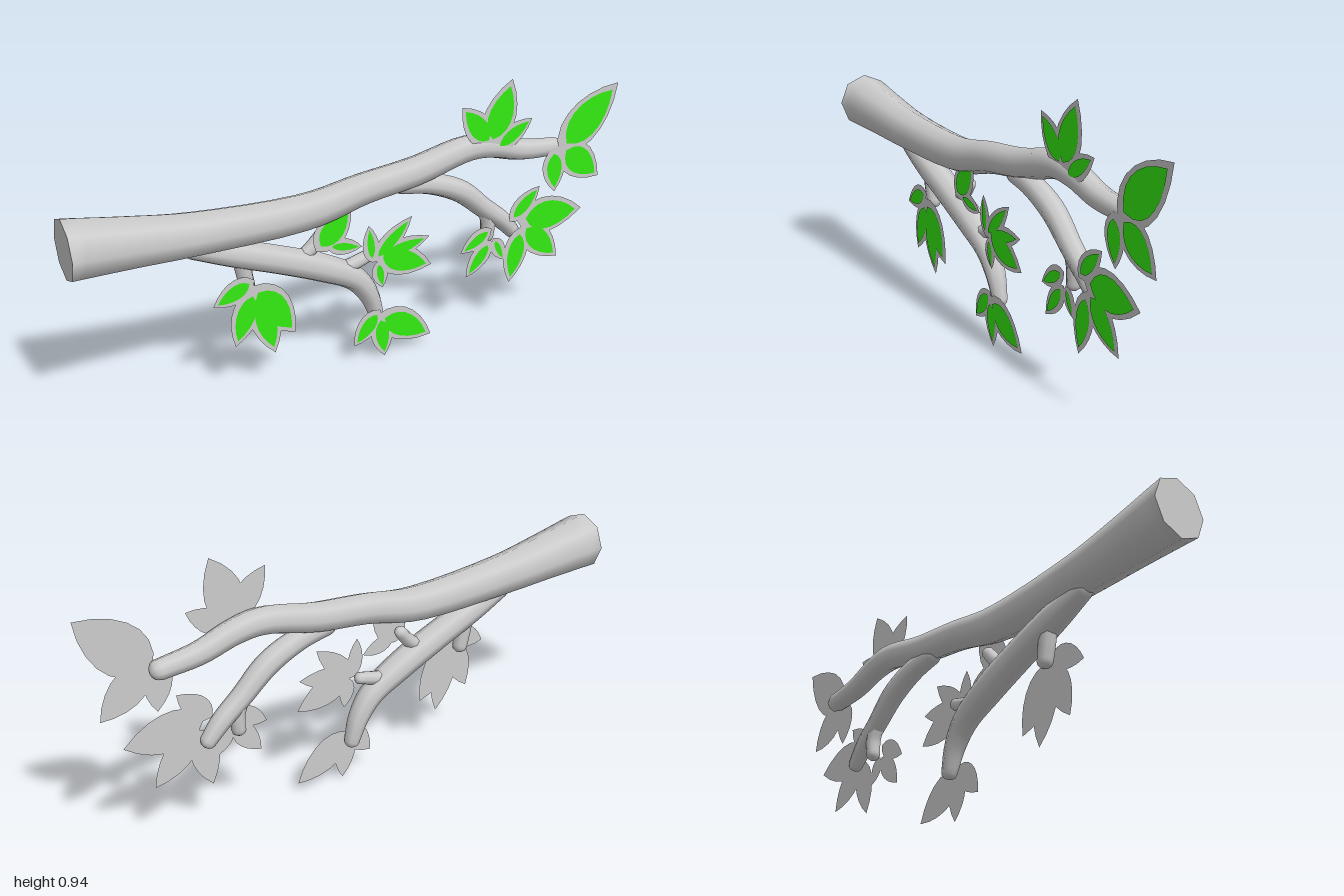
import * as THREE from 'three';

const bark = new THREE.MeshStandardMaterial({ color: 0xcccccc });
const leafRim = new THREE.MeshStandardMaterial({ color: 0xcccccc, side: THREE.DoubleSide });
const leafGreen = new THREE.MeshStandardMaterial({ color: 0x33ec12 });

const SIDES = 8;
const LEAF_Z = 0.035;

// Tapered eight-sided limb through [x, y, radius] points, with rounded ends (or a flat sawn start)
function limb(name, points, sawn = false) {
  const curve = new THREE.CatmullRomCurve3(points.map(p => new THREE.Vector3(...p)));
  const steps = points.length * 4;
  const rings = [];
  const addRing = (p, t, shift, scale) => rings.push({
    x: p.x + t.x * shift * p.z, y: p.y + t.y * shift * p.z, r: p.z * scale, t,
  });
  const round = [0.05, 0.5, 0.85];
  for (let i = 0; i <= steps; i++) {
    const p = curve.getPoint(i / steps);
    const d = curve.getTangent(i / steps);
    const t = new THREE.Vector2(d.x, d.y).normalize();
    if (i === 0 && sawn) t.set(1, 0);
    if (i === 0 && !sawn) round.forEach(s => addRing(p, t, -Math.sqrt(1 - s * s) * 0.8, s));
    addRing(p, t, 0, 1);
    if (i === steps) [...round].reverse().forEach(s => addRing(p, t, Math.sqrt(1 - s * s) * 0.8, s));
  }
  const position = [], index = [];
  rings.forEach(({ x, y, r, t }, i) => {
    for (let j = 0; j < SIDES; j++) {
      const a = (j / SIDES) * Math.PI * 2;
      const c = Math.cos(a) * r;
      position.push(x - t.y * c, y + t.x * c, Math.sin(a) * r);
      if (i === rings.length - 1) continue;
      const k = (j + 1) % SIDES;
      const p = i * SIDES + j, q = i * SIDES + k;
      index.push(p, q, p + SIDES, q, q + SIDES, p + SIDES);
    }
  });
  // close both ends
  const last = (rings.length - 1) * SIDES;
  for (let j = 1; j < SIDES - 1; j++) {
    index.push(last, last + j, last + j + 1);
    if (!sawn) index.push(0, j + 1, j);
  }
  const geometry = new THREE.BufferGeometry();
  geometry.setAttribute('position', new THREE.Float32BufferAttribute(position, 3));
  geometry.setIndex(index);
  geometry.computeVertexNormals();
  const mesh = new THREE.Mesh(geometry, bark);
  mesh.name = name;
  return mesh;
}

// Pointed leaf outline along +x
function leafShape(start, end, width) {
  const l = end - start, c = width / 1.35;
  const s = new THREE.Shape();
  s.moveTo(start, 0);
  s.bezierCurveTo(start + l * 0.18, -c, start + l * 0.65, -c * 0.85, end, 0);
  s.bezierCurveTo(start + l * 0.65, c * 0.85, start + l * 0.18, c, start, 0);
  return new THREE.ShapeGeometry(s, 7);
}

// Flat leaf from base to tip: grey rim with a green blade just in front
function leaf([x0, y0, x1, y1, width]) {
  const length = Math.hypot(x1 - x0, y1 - y0);
  const group = new THREE.Group();
  group.name = 'leaf';
  const rim = new THREE.Mesh(leafShape(0, length, width), leafRim);
  rim.name = 'leafRim';
  const blade = new THREE.Mesh(leafShape(length * 0.13, length * 0.9, width - 0.034), leafGreen);
  blade.name = 'leafBlade';
  blade.position.z = 0.003;
  group.add(rim, blade);
  group.position.set(x0, y0, LEAF_Z);
  group.rotation.z = Math.atan2(y1 - y0, x1 - x0);
  return group;
}

// Leaves by cluster: base x, base y, tip x, tip y, width
const clusters = {
  topLeaves: [[0.47, 0.72, 0.55, 0.955, 0.13], [0.48, 0.73, 0.355, 0.885, 0.1], [0.49, 0.71, 0.64, 0.8, 0.08]],
  endLeaves: [[0.76, 0.65, 1, 0.87, 0.16], [0.77, 0.67, 0.945, 0.525, 0.125], [0.74, 0.67, 0.755, 0.5, 0.095]],
  rightLeaves: [[0.6, 0.42, 0.88, 0.41, 0.14], [0.57, 0.42, 0.69, 0.535, 0.08],
    [0.62, 0.4, 0.785, 0.235, 0.11], [0.62, 0.39, 0.58, 0.175, 0.1]],
  rightTwigLeaves: [[0.495, 0.41, 0.37, 0.34, 0.07], [0.495, 0.365, 0.395, 0.24, 0.075], [0.505, 0.37, 0.55, 0.275, 0.055]],
  lowerTipLeaves: [[0.05, 0.2, -0.05, 0.08, 0.085], [0.05, 0.18, 0.07, 0.01, 0.085], [0.04, 0.18, 0.255, 0.05, 0.12]],
  middleLeaves: [[0.02, 0.39, 0.005, 0.53, 0.06], [0.02, 0.39, 0.17, 0.53, 0.075], [0.03, 0.4, 0.24, 0.44, 0.075],
    [0.03, 0.41, 0.25, 0.33, 0.11], [0.04, 0.39, 0.06, 0.285, 0.06]],
  upperTwigLeaves: [[-0.19, 0.48, -0.06, 0.61, 0.115], [-0.15, 0.49, -0.02, 0.46, 0.06]],
  lowerLeftLeaves: [[-0.41, 0.43, -0.555, 0.365, 0.085], [-0.41, 0.4, -0.485, 0.2, 0.1],
    [-0.4, 0.38, -0.345, 0.14, 0.105], [-0.42, 0.41, -0.27, 0.2, 0.13]],
};

export function createModel() {
  const model = new THREE.Group();
  model.name = 'leafyBranch';

  // Main branch with a flat sawn end
  model.add(limb('mainBranch', [
    [-1, 0.66, 0.102], [-0.8, 0.64, 0.086], [-0.6, 0.622, 0.074], [-0.2, 0.615, 0.063], [0, 0.652, 0.055],
    [0.2, 0.677, 0.052], [0.4, 0.72, 0.047], [0.5, 0.71, 0.043], [0.62, 0.675, 0.039], [0.76, 0.66, 0.034],
  ], true));
  const cut = new THREE.Mesh(new THREE.CircleGeometry(0.102, SIDES), bark);
  cut.name = 'sawnEnd';
  cut.rotation.y = -Math.PI / 2;
  cut.position.set(-1, 0.66, 0);
  model.add(cut);

  // Side branches
  model.add(limb('lowerBranch', [
    [-0.6, 0.57, 0.035], [-0.47, 0.525, 0.047], [-0.3, 0.46, 0.05], [-0.15, 0.395, 0.05],
    [-0.03, 0.325, 0.043], [0.025, 0.25, 0.036], [0.055, 0.165, 0.027],
  ]));
  model.add(limb('rightBranch', [
    [0.15, 0.635, 0.033], [0.26, 0.617, 0.038], [0.38, 0.565, 0.04], [0.48, 0.48, 0.036],
    [0.56, 0.415, 0.033], [0.61, 0.36, 0.027],
  ]));

  // Twigs
  model.add(limb('lowerLeftTwig', [[-0.44, 0.5, 0.03], [-0.43, 0.44, 0.028], [-0.42, 0.39, 0.026]]));
  model.add(limb('upperTwig', [[-0.24, 0.44, 0.025], [-0.19, 0.48, 0.024], [-0.15, 0.525, 0.022]]));
  model.add(limb('middleTwig', [[-0.1, 0.37, 0.024], [-0.03, 0.385, 0.024], [0.02, 0.4, 0.022]]));
  model.add(limb('rightTwig', [[0.485, 0.47, 0.028], [0.5, 0.42, 0.027], [0.497, 0.365, 0.025]]));

  // Leaf clusters
  for (const [name, leaves] of Object.entries(clusters)) {
    const group = new THREE.Group();
    group.name = name;
    leaves.forEach(l => group.add(leaf(l)));
    model.add(group);
  }
  return model;
}
